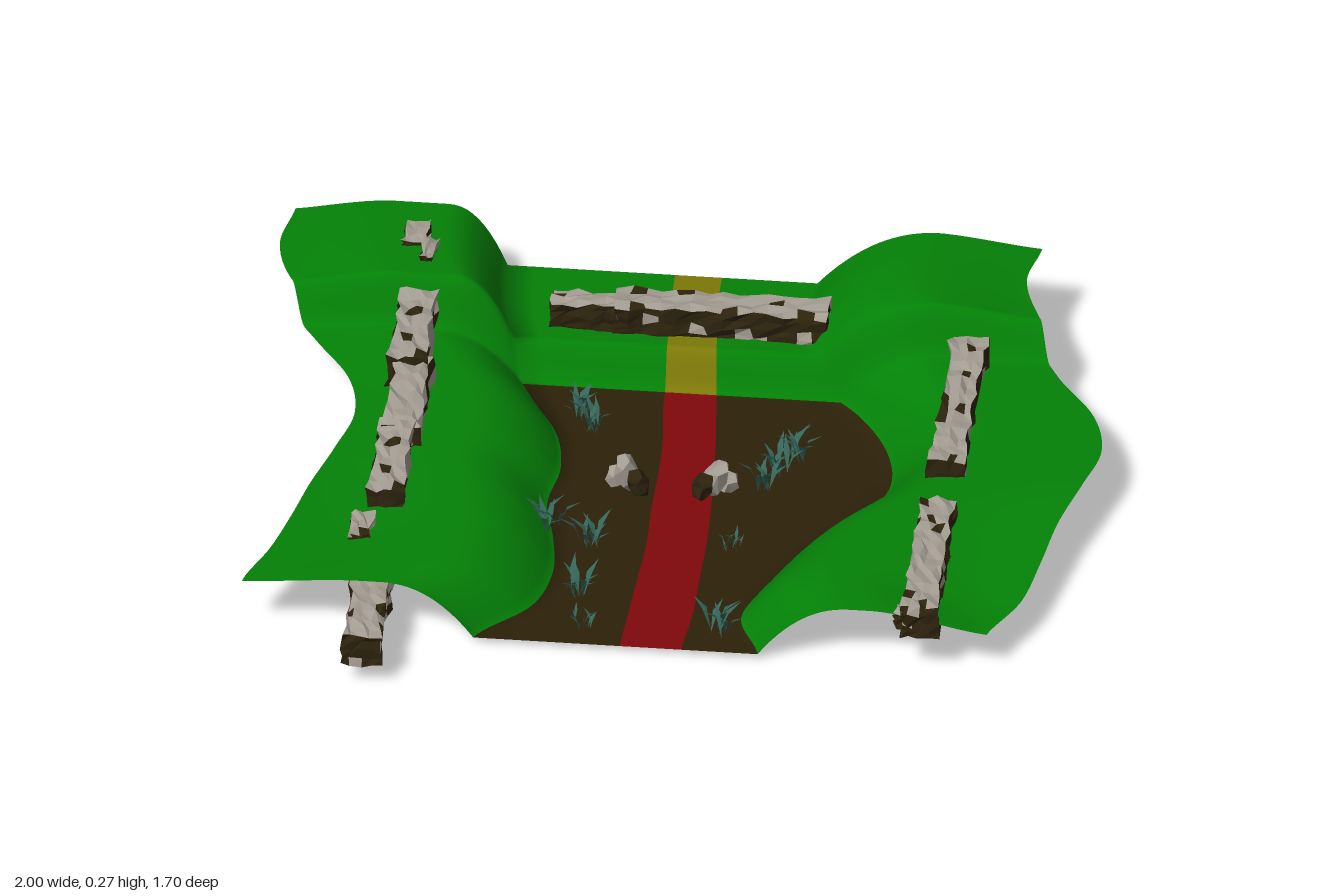
import * as THREE from 'three';

const DS = THREE.DoubleSide;
const { lerp, smoothstep, clamp } = THREE.MathUtils;
const mat = (name, color, side = THREE.FrontSide) => {
  const m = new THREE.MeshStandardMaterial({ color, side });
  m.name = name;
  return m;
};

// Outline curves: x sampled every 0.15 along z, from -0.85 to 0.65
const Z0 = -0.85, Z1 = 0.65, LEDGE = -0.46;
const along = xs => {
  const curve = new THREE.SplineCurve(xs.map((x, i) => new THREE.Vector2(i, x)));
  return z => curve.getPoint(clamp((z - Z0) / (Z1 - Z0), 0, 1)).y;
};
const outerRight = along([-0.98, -1, -0.965, -0.88, -0.79, -0.76, -0.79, -0.83, -0.86, -0.895, -0.945]);
const outerLeft = along([0.78, 0.76, 0.8, 0.87, 0.965, 1, 0.97, 0.93, 0.905, 0.875, 0.81]);
const floorRight = along([-0.48, -0.47, -0.44, -0.375, -0.3, -0.275, -0.29, -0.26, -0.245, -0.28, -0.4]);
const floorLeft = along([0.25, 0.24, 0.27, 0.4, 0.48, 0.5, 0.44, 0.33, 0.26, 0.215, 0.27]);
const pathRight = along([-0.085, -0.08, -0.07, -0.065, -0.05, -0.045, -0.045, -0.04, -0.045, -0.05, -0.055]);
const pathLeft = along([0.025, 0.03, 0.045, 0.06, 0.075, 0.085, 0.095, 0.1, 0.1, 0.1, 0.09]);

// Ground height: flat floor, ledge at the back, banks steep at the foot and rounded on top
function height(x, z) {
  const ledge = 1 - smoothstep(z, -0.52, LEDGE);
  const base = 0.003 + 0.014 * Math.max(0, z - LEDGE) + 0.092 * ledge - 0.06 * Math.max(0, -0.52 - z);
  const onRight = x < 0;
  const d = Math.max(floorRight(z) - x, x - floorLeft(z), 0);
  const width = lerp(0.22, onRight ? 0.14 : 0.3, ledge);
  const t = Math.min(1, d / width);
  const rise = (0.14 + 0.022 * ledge) * (1 - (1 - t) ** 2.2);
  const front = smoothstep(z, 0, 0.6);
  const droop = onRight ? 0.02 + 0.025 * ledge : 0.05 * front + 0.03 * ledge;
  return base + rise - droop * smoothstep(d, 0.26, 0.58);
}

// Ground strip between two outline curves
function strip(name, material, a, b, nx, z0, z1, nz) {
  const pos = [], nor = [], idx = [], n = new THREE.Vector3(), e = 0.006;
  for (let j = 0; j <= nz; j++) {
    const z = lerp(z0, z1, j / nz);
    for (let i = 0; i <= nx; i++) {
      const x = lerp(a(z), b(z), i / nx);
      pos.push(x, height(x, z), z);
      n.set(height(x - e, z) - height(x + e, z), 2 * e, height(x, z - e) - height(x, z + e)).normalize();
      nor.push(n.x, n.y, n.z);
      if (i < nx && j < nz) {
        const k = j * (nx + 1) + i, l = k + nx + 1;
        idx.push(k, l, k + 1, k + 1, l, l + 1);
      }
    }
  }
  const g = new THREE.BufferGeometry();
  g.setAttribute('position', new THREE.Float32BufferAttribute(pos, 3));
  g.setAttribute('normal', new THREE.Float32BufferAttribute(nor, 3));
  g.setIndex(idx);
  const m = new THREE.Mesh(g, material);
  m.name = name;
  return m;
}

// Repeatable jitter from a position, so shared corners stay joined
const hash = (x, y, z) => {
  const s = Math.sin(x * 127.1 + y * 311.7 + z * 74.7) * 43758.5453;
  return s - Math.floor(s) - 0.5;
};

// Rough wall along x; ends are [bottom, top]; pale stone on the top and one long side, dark chips between
function wall(name, length, width, endA, endB, materials, paleSide) {
  const g = new THREE.BoxGeometry(1, 1, 1, Math.max(3, Math.round(length / 0.035)), 4, 4);
  const p = g.attributes.position;
  for (let i = 0; i < p.count; i++) {
    const x = p.getX(i), y = p.getY(i), z = p.getZ(i), t = x + 0.5;
    const w = width * (Math.abs(x) > 0.42 ? 1.04 : 0.92);
    const r = k => hash(x + k, y + length, z - k);
    p.setXYZ(i, x * length + 0.01 * r(1),
      lerp(lerp(endA[0], endB[0], t), lerp(endA[1], endB[1], t), y + 0.5) + 0.014 * r(2),
      z * w + 0.014 * r(3));
  }
  const parts = [[], []], index = g.index.array;
  g.groups.forEach(({ start, count }, face) => {
    for (let i = start; i < start + count; i += 6) {
      const chance = face === 2 ? 0.4 : face === paleSide ? 0.22 : -0.42;
      parts[hash(i, face, length) < chance ? 0 : 1].push(...index.slice(i, i + 6));
    }
  });
  g.setIndex(parts.flat());
  g.clearGroups();
  g.addGroup(0, parts[0].length, 0);
  g.addGroup(parts[0].length, parts[1].length, 1);
  const f = g.toNonIndexed();
  f.computeVertexNormals();
  const m = new THREE.Mesh(f, materials);
  m.name = name;
  return m;
}

export function createModel() {
  const root = new THREE.Group();
  root.name = 'trenchGround';
  const grass = mat('grass green', 0x048207, DS);
  const soil = mat('dark soil', 0x2c2109, DS);
  const red = mat('path red', 0x80070c, DS);
  const yellow = mat('path yellow', 0x7e7a08, DS);
  const stone = mat('pale stone', 0xa39c92);
  const bark = mat('dark brown', 0x2d230d);
  const leaf = mat('teal leaf', 0x35665b, DS);

  // Ground
  const front = [LEDGE, Z1, 70], back = [Z0, LEDGE, 52];
  for (const [tag, zs] of [['Front', front], ['Back', back]]) {
    const f = tag === 'Front';
    root.add(
      strip('rightBank' + tag, grass, outerRight, floorRight, 36, ...zs),
      strip('leftBank' + tag, grass, floorLeft, outerLeft, 36, ...zs),
      strip('rightFloor' + tag, f ? soil : grass, floorRight, pathRight, 6, ...zs),
      strip('leftFloor' + tag, f ? soil : grass, pathLeft, floorLeft, 6, ...zs),
      strip('path' + tag, f ? red : yellow, pathRight, pathLeft, 4, ...zs));
  }

  // Broken walls; box side 4 is +z and 5 is -z before turning
  const TO_RIGHT = 4, TO_LEFT = 5, TO_BACK = 5;
  const colours = [stone, bark];
  const addX = (name, x0, x1, z, width, a, b) => {
    const m = wall(name, x1 - x0, width, a, b, colours, TO_BACK);
    m.position.set((x0 + x1) / 2, 0, z);
    root.add(m);
  };
  const addZ = (name, x, z0, z1, width, a, b, paleSide) => {
    const m = wall(name, z1 - z0, width, a, b, colours, paleSide);
    m.rotation.y = -Math.PI / 2;
    m.position.set(x, 0, (z0 + z1) / 2);
    root.add(m);
  };
  addX('backWall', -0.2, 0.305, -0.607, 0.09, [0.08, 0.165], [0.08, 0.165]);
  addX('backWallEnd', -0.35, -0.19, -0.6, 0.068, [0.09, 0.16], [0.09, 0.16]);
  addZ('rightWallBack', -0.65, -0.49, -0.21, 0.09, [0.13, 0.228], [0.11, 0.222], TO_LEFT);
  addZ('rightWallMiddle', -0.635, -0.24, 0.05, 0.09, [0.11, 0.21], [0.1, 0.2], TO_LEFT);
  addZ('rightWallFront', -0.645, 0.03, 0.31, 0.085, [0.1, 0.205], [0.09, 0.19], TO_LEFT);
  addZ('rightWallBuried', -0.645, 0.29, 0.64, 0.085, [0.07, 0.13], [0.065, 0.125], TO_LEFT);
  addZ('rightWallTip', -0.645, 0.62, 0.848, 0.09, [0.065, 0.15], [0.055, 0.135], TO_LEFT);
  addZ('leftWallBack', 0.65, -0.47, 0.05, 0.085, [0.075, 0.205], [0.075, 0.19], TO_RIGHT);
  addZ('leftWallFront', 0.65, 0.2, 0.665, 0.085, [0.1, 0.19], [0.1, 0.185], TO_RIGHT);

  // Small stones showing through the bank
  for (const [x, z, w, l] of [[-0.675, -0.69, 0.06, 0.09], [-0.64, -0.615, 0.03, 0.08],
    [-0.69, 0.4, 0.055, 0.1], [0.615, 0.645, 0.04, 0.04]]) {
    const y = height(x, z);
    addZ('bankStone', x, z - l / 2, z + l / 2, w, [y - 0.02, y + 0.014], [y - 0.02, y + 0.014], TO_LEFT);
  }

  // Broken standing stones beside the path
  for (const [x, z, tilt] of [[-0.11, -0.025, 0.3], [0.1, -0.025, -0.35]]) {
    const pair = new THREE.Group();
    pair.name = 'standingStone';
    [[0, 0.11, stone], [0.03, 0.075, bark], [-0.025, 0.06, stone]].forEach(([off, h, m], k) => {
      const g = new THREE.DodecahedronGeometry(0.5, 0);
      const p = g.attributes.position;
      for (let i = 0; i < p.count; i++) {
        const s = 1 + 0.3 * hash(+p.getX(i).toFixed(2), +p.getY(i).toFixed(2), +p.getZ(i).toFixed(2) + k);
        p.setXYZ(i, p.getX(i) * 0.06 * s, p.getY(i) * h * s, p.getZ(i) * 0.06 * s);
      }
      g.computeVertexNormals();
      const rock = new THREE.Mesh(g, m);
      rock.name = 'rock';
      rock.position.set(Math.sign(tilt) * off, h / 2, off * 0.8);
      rock.rotation.z = tilt;
      pair.add(rock);
    });
    pair.position.set(x, height(x, z), z);
    root.add(pair);
  }

  // Sparse plants: rings of narrow leaves that arch outwards
  const blade = new THREE.BufferGeometry();
  blade.setAttribute('position', new THREE.Float32BufferAttribute(
    [0, 0, 0, 0.007, 0.05, 0.018, -0.007, 0.05, 0.018, 0, 0.07, 0.05], 3));
  blade.setIndex([0, 2, 1, 1, 2, 3]);
  blade.computeVertexNormals();
  const spots = [[-0.25, -0.33], [-0.22, -0.27], [0.27, -0.2], [0.24, -0.14], [0.21, -0.07],
    [-0.27, 0.18], [-0.17, 0.22], [-0.18, 0.44], [0.17, 0.57], [0.16, 0.2], [-0.15, 0.57]];
  spots.forEach(([x, z], s) => {
    const plant = new THREE.Group();
    plant.name = 'plant';
    const small = s > 8 ? 0.5 : 1;
    for (let i = 0; i < 11; i++) {
      const b = new THREE.Mesh(blade, leaf);
      b.name = 'leaf';
      b.rotation.y = i * 2.4 + s;
      b.scale.setScalar(small * (0.95 + 0.5 * hash(i, s, 1)));
      b.position.set(0.04 * hash(i, s, 2), 0, 0.04 * hash(i, s, 3));
      plant.add(b);
    }
    plant.position.set(x, height(x, z), z);
    root.add(plant);
  });
  return root;
}
